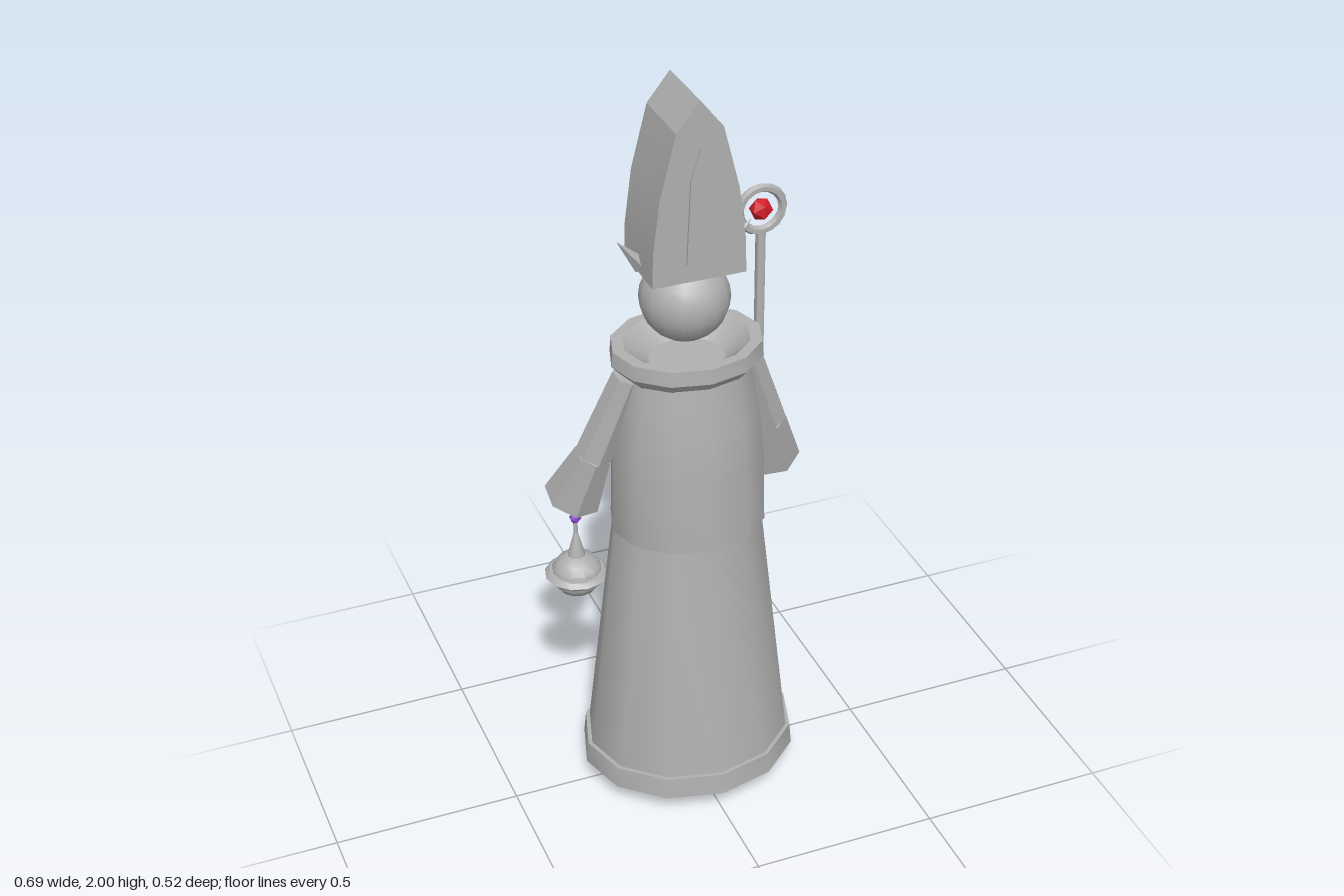
import * as THREE from 'three';
import { toCreasedNormals } from 'three/addons/utils/BufferGeometryUtils.js';

export function createModel() {
  const model = new THREE.Group();
  const stone = new THREE.MeshStandardMaterial({ color: 0xb0b0b0 });
  stone.name = 'stone grey';
  const red = new THREE.MeshStandardMaterial({ color: 0xd01c28 });
  red.name = 'ruby red';
  const purple = new THREE.MeshStandardMaterial({ color: 0x8a48d0 });
  purple.name = 'violet';

  const add = (name, geometry, material = stone, x = 0, y = 0, z = 0, crease = 0.6) => {
    const mesh = new THREE.Mesh(toCreasedNormals(geometry, crease), material);
    mesh.name = name;
    mesh.position.set(x, y, z);
    model.add(mesh);
    return mesh;
  };
  // Revolved profile of [radius, height] pairs, flattened in depth
  const lathe = (name, profile, depth = 1, sides = 12, x = 0, y = 0, z = 0) => {
    const g = new THREE.LatheGeometry(profile.map(p => new THREE.Vector2(...p)), sides);
    g.scale(1, 1, depth);
    return add(name, g, stone, x, y, z);
  };
  // Tapered cylinder running between two points
  const limb = (name, from, to, r0, r1, sides, crease = 0.6) => {
    const a = new THREE.Vector3(...from), b = new THREE.Vector3(...to);
    const dir = b.clone().sub(a);
    const mesh = add(name, new THREE.CylinderGeometry(r1, r0, dir.length(), sides), stone, 0, 0, 0, crease);
    mesh.position.copy(a).add(b).multiplyScalar(0.5);
    mesh.quaternion.setFromUnitVectors(new THREE.Vector3(0, 1, 0), dir.normalize());
    return mesh;
  };
  // Flat outline with thickness, centred on z
  const plate = (name, points, thickness, z) => {
    const shape = new THREE.Shape(points.map(p => new THREE.Vector2(...p)));
    const g = new THREE.ExtrudeGeometry(shape, { depth: thickness, bevelEnabled: false });
    return add(name, g, stone, 0, 0, z - thickness / 2, 0.2);
  };

  // Robe
  lathe('skirt', [[0, 0.06], [0.285, 0.06], [0.199, 0.81], [0, 0.81]], 0.888);
  lathe('hem', [[0.27, 0.06], [0.295, 0.06], [0.289, 0.12], [0.27, 0.12]], 0.888);
  lathe('tunic', [[0.18, 0.8], [0.206, 0.8], [0.201, 1.0], [0.19, 1.12], [0.165, 1.26], [0, 1.28]], 0.888);
  lathe('collar', [[0.14, 1.25], [0.168, 1.25], [0.2, 1.285], [0.196, 1.325],
    [0.165, 1.325], [0.1, 1.275], [0, 1.275]], 0.85, 12, 0, 0, -0.005);

  // Head and face
  add('head', new THREE.SphereGeometry(0.115, 16, 12), stone, 0, 1.44, -0.018);
  const nose = add('nose', new THREE.ConeGeometry(0.02, 0.09, 4), stone, 0, 1.395, -0.138, 0.1);
  nose.rotation.x = 0.2;

  // Mitre: pointed outline extruded front to back
  plate('mitre', [[-0.122, 1.53], [0.122, 1.53], [0.12, 1.62], [0.102, 1.76],
    [0.06, 1.925], [0, 2], [-0.06, 1.925], [-0.102, 1.76], [-0.12, 1.62]], 0.19, -0.015);
  for (const z of [0.082, -0.112]) {
    plate('mitrePanel', [[-0.035, 1.58], [0.035, 1.58], [0.025, 1.8], [0, 1.88], [-0.025, 1.8]], 0.009, z);
  }
  add('mitreGem', new THREE.IcosahedronGeometry(0.019, 0), red, 0, 1.915, -0.12, 0.1);

  for (const s of [1, -1]) {
    // Ears, eyes and collar points
    limb('ear', [s * 0.112, 1.545, -0.015], [s * 0.175, 1.62, -0.015], 0.022, 0.001, 4, 0.1);
    add('eye', new THREE.BoxGeometry(0.041, 0.02, 0.018), purple, s * 0.043, 1.47, -0.136);
    plate('collarPoint', [[s * 0.035, 1.275], [s * 0.105, 1.275], [s * 0.095, 1.185]], 0.02, -0.158);

    // Arms with flared sleeves
    limb('upperArm', [s * 0.16, 1.255, 0], [s * 0.24, 1.02, -0.04], 0.04, 0.05, 7, 0.1);
    limb('sleeve', [s * 0.238, 1.025, -0.04], [s * 0.277, 0.868, -0.1], 0.05, 0.078, 7, 0.1);
    add('hand', new THREE.SphereGeometry(0.035, 12, 8), stone, s * 0.25, 0.845, -0.125);

    // Shoes with chamfered edges
    const sole = new THREE.Shape();
    sole.moveTo(-0.036, 0.012).lineTo(0.036, 0.012).lineTo(0.036, 0.04).lineTo(-0.036, 0.04);
    const shoe = new THREE.ExtrudeGeometry(sole, {
      depth: 0.141, bevelSize: 0.012, bevelThickness: 0.012, bevelSegments: 1,
    });
    add('shoe', shoe, stone, s * 0.092, 0, -0.154, 0.2);
  }
  plate('collarCentrePoint', [[-0.04, 1.275], [0.04, 1.275], [0, 1.215]], 0.02, -0.158);

  // Staff
  add('staff', new THREE.CylinderGeometry(0.014, 0.014, 1.24, 8), stone, 0.25, 0.9, -0.128, 0.9);
  add('staffRing', new THREE.TorusGeometry(0.059, 0.012, 6, 16), stone, 0.25, 1.577, -0.128, 0.5);
  add('staffGem', new THREE.IcosahedronGeometry(0.031, 0), red, 0.25, 1.577, -0.128, 0.1);

  // Censer on a beaded chain
  const cx = -0.25, cz = -0.17;
  add('chain', new THREE.CylinderGeometry(0.006, 0.006, 0.24, 6), stone, cx, 0.78, cz, 1.2);
  for (const [y, r] of [[0.875, 0.02], [0.81, 0.021], [0.745, 0.017]]) {
    add('bead', new THREE.IcosahedronGeometry(r, 0), purple, cx, y, cz, 0.1);
  }
  const bowl = new THREE.SphereGeometry(0.07, 12, 8);
  bowl.scale(1, 0.9, 1);
  add('censerBowl', bowl, stone, cx, 0.568, cz);
  lathe('censerRim', [[0.06, -0.012], [0.075, -0.012], [0.087, 0], [0.075, 0.012], [0.06, 0.012]],
    1, 12, cx, 0.57, cz);
  add('censerLid', new THREE.CylinderGeometry(0.005, 0.026, 0.08, 8), stone, cx, 0.66, cz, 0.9);

  return model;
}
